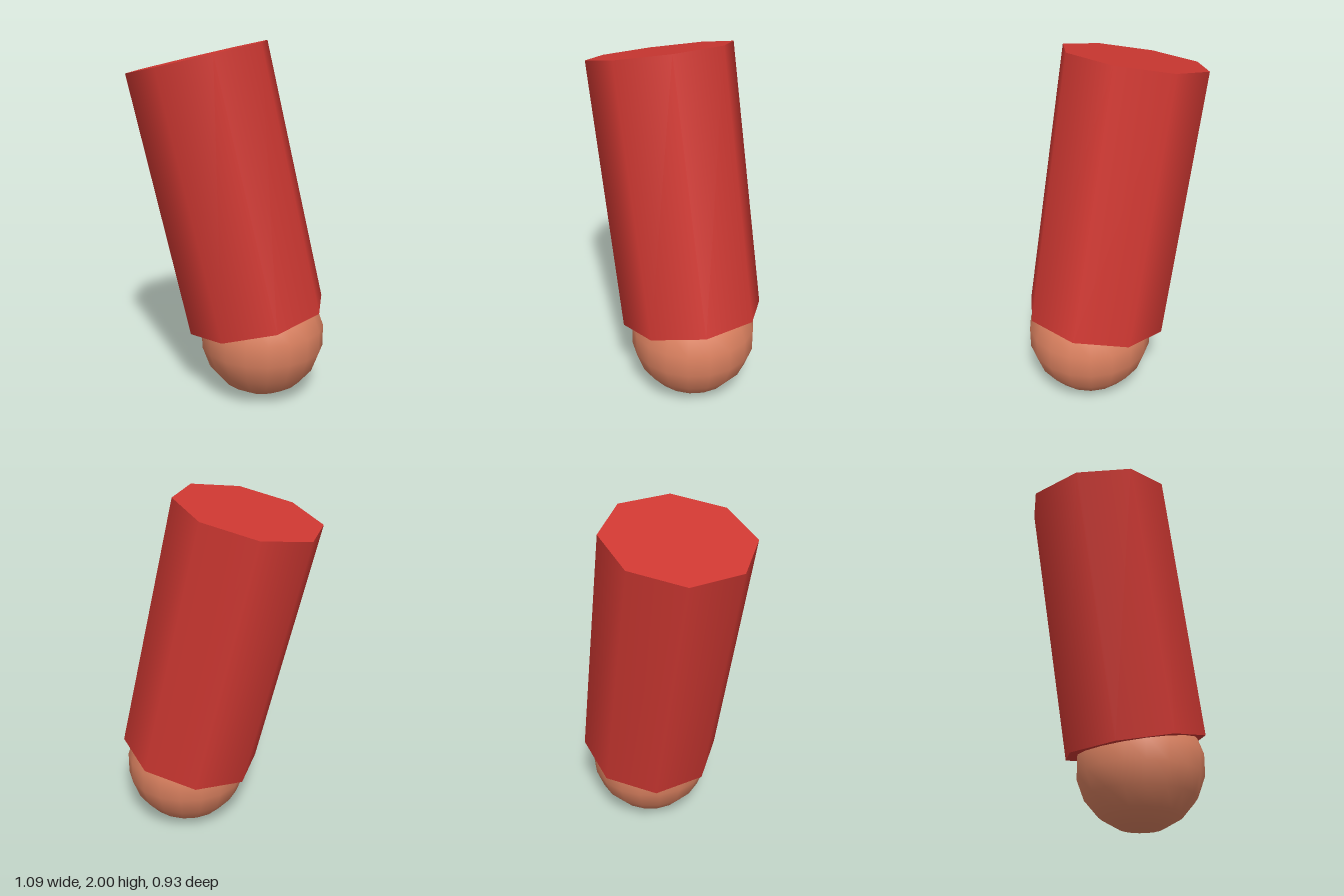
import * as THREE from 'three';

export function createModel() {
  const red = new THREE.MeshStandardMaterial({ color: 0xcf3832 });
  red.name = 'sleeve red';
  const skin = new THREE.MeshStandardMaterial({ color: 0xdb8160 });
  skin.name = 'skin';

  const model = new THREE.Group();
  model.name = 'arm';

  // Eight-sided sleeve, leaning back and to the side
  const sleeve = new THREE.Mesh(new THREE.CylinderGeometry(0.4, 0.4, 1.495, 8), red);
  sleeve.name = 'sleeve';
  sleeve.position.set(-0.002, 1.188, 0);
  sleeve.rotation.set(-0.09, 0, 0.209);
  model.add(sleeve);

  // Round hand sunk into the lower end of the sleeve
  const hand = new THREE.Mesh(new THREE.SphereGeometry(0.355, 18, 9), skin);
  hand.name = 'hand';
  hand.position.set(0.175, 0.357, 0.092);
  model.add(hand);

  return model;
}
